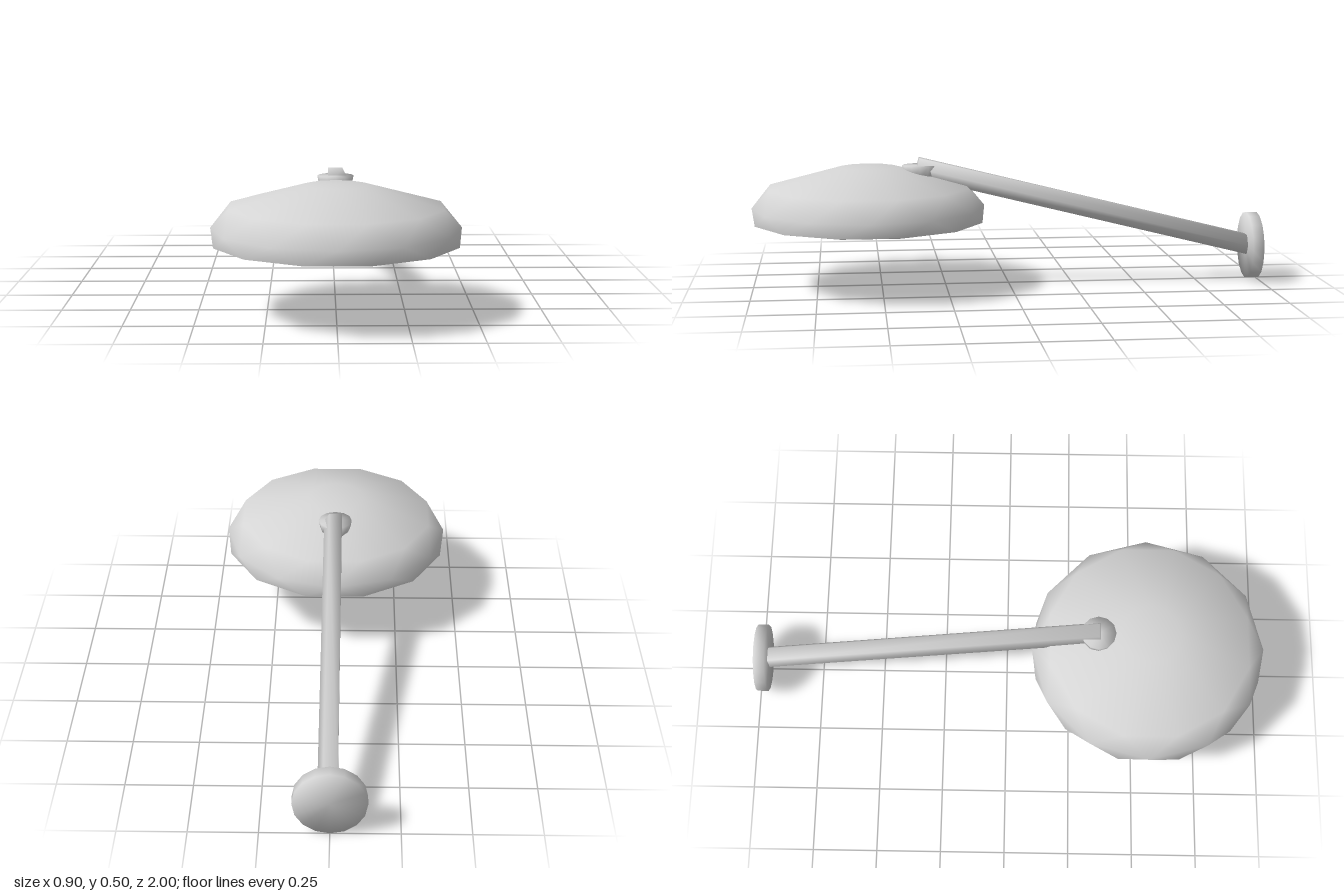
import * as THREE from 'three';
import { toCreasedNormals } from 'three/addons/utils/BufferGeometryUtils.js';

const SIDES = 12;

// Skin a stack of rings [radius, y, twist in steps], listed from the bottom centre up to the top centre
function ringStack(rings) {
  const pos = [], index = [];
  for (const [r, y, twist] of rings) {
    for (let j = 0; j < SIDES; j++) {
      const a = ((j + twist) / SIDES) * Math.PI * 2;
      pos.push(r * Math.sin(a), y, r * Math.cos(a));
    }
  }
  for (let k = 0; k < rings.length - 1; k++) {
    for (let j = 0; j < SIDES; j++) {
      const n = (j + 1) % SIDES, b = k * SIDES, t = b + SIDES;
      // Rings of zero radius are the centre of a fan
      if (rings[k][0] > 0) index.push(b + j, b + n, t + j);
      if (rings[k + 1][0] > 0) index.push(b + n, t + n, t + j);
    }
  }
  const geo = new THREE.BufferGeometry();
  geo.setAttribute('position', new THREE.Float32BufferAttribute(pos, 3));
  geo.setIndex(index);
  return geo;
}

export function createModel() {
  const group = new THREE.Group();
  const metal = new THREE.MeshStandardMaterial({ color: 0xd4d4d4 });
  metal.name = 'light grey metal';
  const diffuser = new THREE.MeshStandardMaterial({ color: 0x929292 });
  diffuser.name = 'mid grey diffuser';

  // Edges sharper than the crease angle stay hard; Math.PI smooths everything
  function add(name, geo, material, crease, x, y, z) {
    const mesh = new THREE.Mesh(toCreasedNormals(geo, crease), material);
    mesh.name = name;
    mesh.position.set(x, y, z);
    group.add(mesh);
    return mesh;
  }

  // Round wall plate
  const plate = new THREE.CylinderGeometry(0.133, 0.133, 0.043, 16).rotateX(Math.PI / 2);
  add('wallPlate', plate, metal, Math.PI, 0, 0.135, -0.9785);

  // Five-sided arm rising from the plate to the shade
  const h = 0.0375;
  const section = new THREE.Shape([
    [-0.027, -h], [0.025, -h], [0.045, 0], [0.025, h], [-0.027, h],
  ].map(([x, y]) => new THREE.Vector2(x, y)));
  const bar = new THREE.ExtrudeGeometry(section, { depth: 1.365, bevelEnabled: false });
  const arm = add('arm', bar, metal, Math.PI, 0, 0.138, -0.965);
  arm.rotation.x = -Math.atan(0.249);

  // Small disc joining arm and shade
  add('pivotCap', new THREE.CylinderGeometry(0.067, 0.058, 0.05, 12), metal, Math.PI, 0, 0.45, 0.35);

  // Faceted dome shade; neighbouring rings are staggered by half a step
  add('shade', ringStack([
    [0, 0.262, 0.5],
    [0.45, 0.262, 0.5],
    [0.452, 0.315, 1],
    [0.396, 0.394, 1.5],
    [0.115, 0.47, 2],
    [0, 0.473, 2],
  ]), metal, 1.15, 0, 0, 0.548);

  // Darker light panel set under the shade, leaving a narrow rim
  const panel = new THREE.CylinderGeometry(0.425, 0.425, 0.006, SIDES, 1, false, Math.PI / SIDES);
  add('lightPanel', panel, diffuser, 0.5, 0, 0.26, 0.548);

  return group;
}
